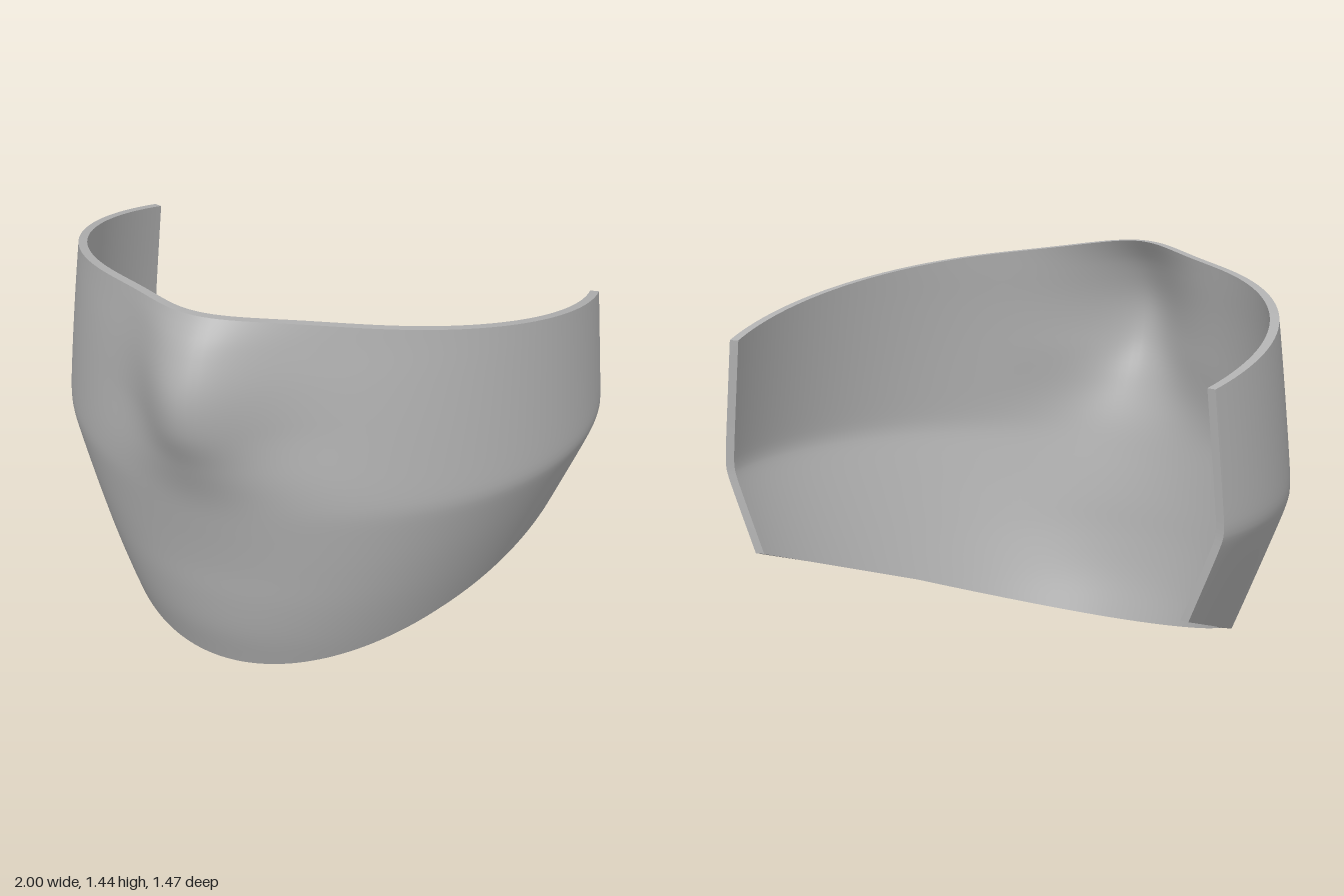
import * as THREE from 'three';

const STEP = 0.15;          // height between samples of the tables below
const CREASE = 0.72;        // height of the widest line
const BACK = -0.48;         // z of the widest line, centre of every section
const END = THREE.MathUtils.degToRad(104.4);
const THICK = 0.032;

// Front depth of the plain oval section, and of the nose ridge, by height
const DEPTH = [0.905, 0.95, 0.985, 1.005, 1.015, 1.02, 1.015, 1.005, 0.99, 0.97, 0.955];
const PROFILE = [0.425, 0.475, 0.507, 0.53, 0.56, 0.597, 0.655, 0.718, 0.728, 0.672, 0.575];

// Smooth lookup in an evenly spaced table
function sample(table, y) {
  const t = THREE.MathUtils.clamp(y / STEP, 0, table.length - 1.001);
  const i = Math.floor(t), f = t - i, last = table.length - 1;
  const p0 = i > 0 ? table[i - 1] : 2 * table[0] - table[1];
  const p1 = table[i], p2 = table[i + 1], p3 = table[Math.min(i + 2, last)];
  return p1 + 0.5 * f * (p2 - p0 + f * (2 * p0 - 5 * p1 + 4 * p2 - p3 + f * (3 * (p1 - p2) + p3 - p0)));
}

// Half width: flares out to the crease, then leans in, with a slightly soft turn
function halfWidth(y) {
  const a = 1.004 - 0.43 * (CREASE - y), b = 1.004 - 0.095 * (y - CREASE);
  return 0.5 * (a + b - Math.hypot(a - b, 0.015));
}

// Outer surface at angle a (0 = front) and height y
function outerAt(a, y) {
  const x = halfWidth(y) * Math.sin(a), c = Math.cos(a);
  const depth = sample(DEPTH, y);
  let z = BACK + (c > 0 ? depth : 1.02) * c;
  if (c > 0) {
    const spread = 0.17 + 0.1 * THREE.MathUtils.smoothstep(1.05 - y, 0, 0.4);
    z += (sample(PROFILE, y) - BACK - depth) * Math.exp(-x * x / (2 * spread * spread));
  }
  return new THREE.Vector3(x, y, z);
}

// Inner surface: the outer one moved inward, level
function innerAt(a, y) {
  const e = 0.002, p = outerAt(a, y);
  const d = outerAt(a + e, y).sub(outerAt(a - e, y)).normalize();
  return p.add(new THREE.Vector3(d.z, 0, -d.x).multiplyScalar(THICK));
}

// Sloping trim lines
const topLine = z => 1.327 + 0.194 * z;
const bottomLine = z => 0.17 - (z < 0 ? 0.345 : 0.4) * z;
function trim(a, line, y) {
  for (let i = 0; i < 15; i++) y = line(outerAt(a, y).z);
  return Math.max(0, y);
}

// Rows meet the crease at v = 0.5
function heightAt(a, v) {
  return v < 0.5
    ? THREE.MathUtils.lerp(trim(a, bottomLine, 0.2), CREASE, v * 2)
    : THREE.MathUtils.lerp(CREASE, trim(a, topLine, 1.3), v * 2 - 1);
}

// Grid of points fn(u, v), facing du x dv unless flipped
function surface(fn, nu, nv, flip) {
  const pos = [], index = [];
  for (let j = 0; j <= nv; j++) {
    for (let i = 0; i <= nu; i++) pos.push(...fn(i / nu, j / nv).toArray());
  }
  for (let j = 0; j < nv; j++) {
    for (let i = 0; i < nu; i++) {
      const a = j * (nu + 1) + i, b = a + 1, c = b + nu + 1, d = a + nu + 1;
      index.push(...(flip ? [a, c, b, a, d, c] : [a, b, c, a, c, d]));
    }
  }
  const g = new THREE.BufferGeometry();
  g.setAttribute('position', new THREE.Float32BufferAttribute(pos, 3));
  g.setIndex(index);
  g.computeVertexNormals();
  return g;
}

export function createModel() {
  const group = new THREE.Group();
  group.name = 'faceGuard';
  const grey = new THREE.MeshStandardMaterial({ color: 0xb0b0b0 });
  grey.name = 'plain grey';

  const add = (name, geometry) => {
    const mesh = new THREE.Mesh(geometry, grey);
    mesh.name = name;
    group.add(mesh);
  };
  const angle = u => (u * 2 - 1) * END;
  const outer = (u, v) => outerAt(angle(u), heightAt(angle(u), v));
  const inner = (u, v) => innerAt(angle(u), heightAt(angle(u), v));
  const across = (u, v, t) => outer(u, v).lerp(inner(u, v), t);

  // Shell walls
  add('outerShell', surface(outer, 112, 48, false));
  add('innerShell', surface(inner, 112, 48, true));

  // Rims closing the thickness
  add('topRim', surface((u, t) => across(u, 1, t), 112, 1, false));
  add('bottomRim', surface((u, t) => across(u, 0, t), 112, 1, true));
  add('leftEnd', surface((t, v) => across(1, v, t), 1, 48, false));
  add('rightEnd', surface((t, v) => across(0, v, t), 1, 48, true));
  return group;
}
